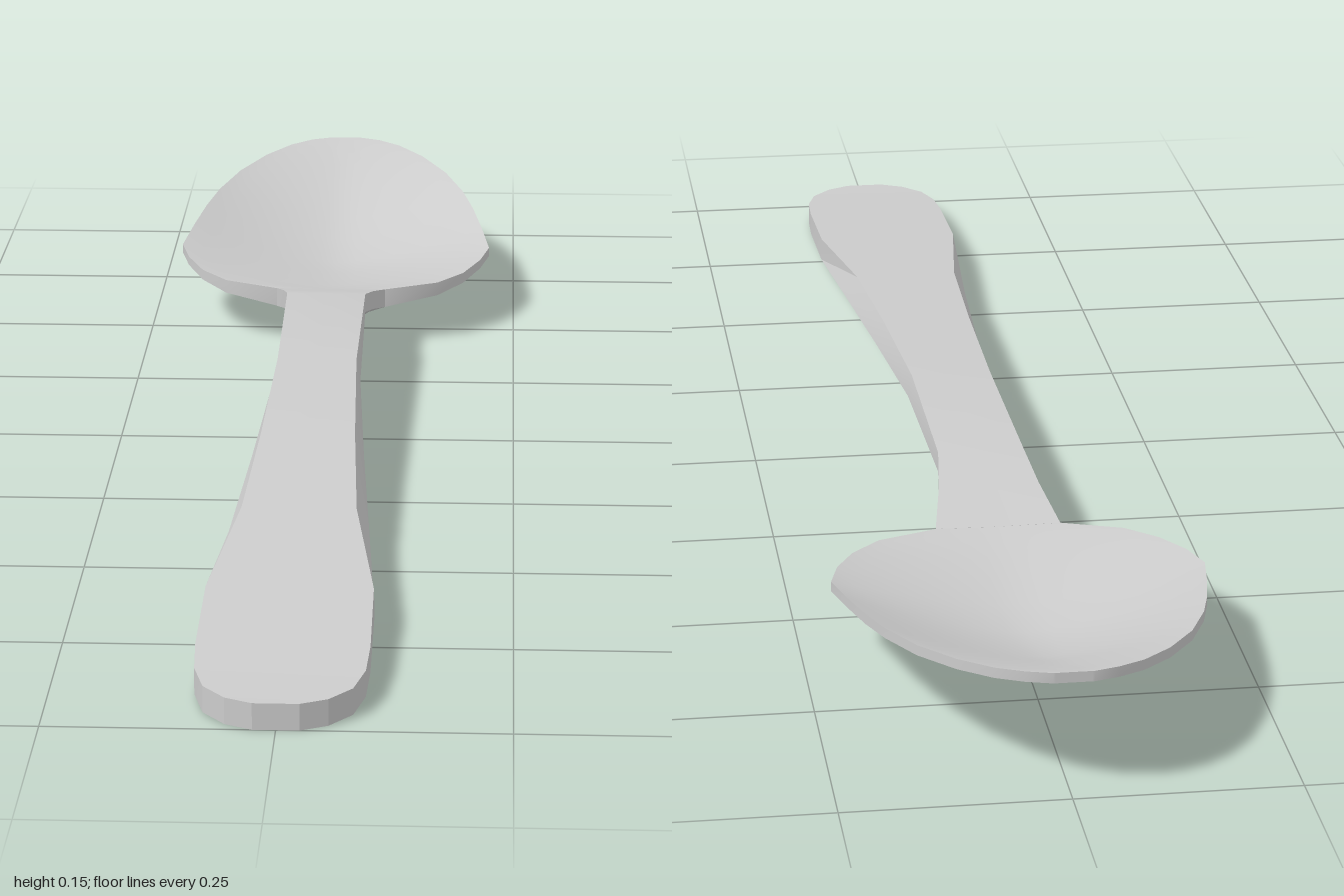
import * as THREE from 'three';
import { toCreasedNormals } from 'three/addons/utils/BufferGeometryUtils.js';

// Skin a row of cross-sections that run from +z to -z.
// Section: [z, top half width, bottom half width, rim y, rim thickness, centre top y, centre bottom y]
function loft(sections, columns, power, crease) {
  const positions = [], indices = [], ring = columns * 2;
  for (const [z, topWidth, bottomWidth, rim, thickness, topY, bottomY] of sections) {
    for (let k = 0; k < ring; k++) {
      const isTop = k < columns;
      const j = isTop ? k : ring - 1 - k;
      const t = -1 + (2 * j) / (columns - 1);
      const rise = Math.pow(Math.abs(t), power);
      const centre = isTop ? topY : bottomY;
      const edge = isTop ? rim : rim - thickness;
      positions.push(t * (isTop ? topWidth : bottomWidth), centre + (edge - centre) * rise, z);
    }
  }
  for (let i = 0; i < sections.length - 1; i++) {
    for (let k = 0; k < ring; k++) {
      const a = i * ring + k, b = i * ring + (k + 1) % ring;
      indices.push(a, b, a + ring, b, b + ring, a + ring);
    }
  }
  // End caps
  const last = (sections.length - 1) * ring;
  for (let j = 0; j < columns - 1; j++) {
    const tl = j, tr = j + 1, br = ring - 2 - j, bl = ring - 1 - j;
    indices.push(bl, br, tr, bl, tr, tl);
    indices.push(last + tl, last + tr, last + br, last + tl, last + br, last + bl);
  }
  const geometry = new THREE.BufferGeometry();
  geometry.setAttribute('position', new THREE.Float32BufferAttribute(positions, 3));
  geometry.setIndex(indices);
  return toCreasedNormals(geometry, crease);
}

export function createModel() {
  const spoon = new THREE.Group();
  spoon.name = 'spoon';
  const material = new THREE.MeshStandardMaterial({ color: 0xcccccc });

  // Handle: flat top, thin side walls, keeled underside
  const handleSections = [
    [1.0, 0.025, 0.025, 0.03, 0.03, 0.03, 0],
    [0.985, 0.055, 0.055, 0.03, 0.03, 0.03, 0],
    [0.955, 0.08, 0.08, 0.031, 0.03, 0.031, 0.001],
    [0.91, 0.092, 0.092, 0.034, 0.03, 0.034, 0.004],
    [0.85, 0.095, 0.095, 0.039, 0.03, 0.039, 0.009],
    [0.7, 0.094, 0.095, 0.051, 0.03, 0.051, 0.021],
    [0.48, 0.067, 0.082, 0.07, 0.03, 0.07, 0.033],
    [0.25, 0.057, 0.068, 0.088, 0.03, 0.088, 0.038],
    [0, 0.05, 0.055, 0.106, 0.028, 0.106, 0.042],
    [-0.28, 0.052, 0.052, 0.112, 0.025, 0.112, 0.047],
    [-0.35, 0.06, 0.06, 0.096, 0.025, 0.096, 0.049],
    [-0.43, 0.074, 0.074, 0.076, 0.025, 0.075, 0.05],
  ];
  const handle = new THREE.Mesh(loft(handleSections, 3, 1, 0.35), material);
  handle.name = 'handle';
  spoon.add(handle);

  // Bowl: dished on top, rounded underneath
  const bowlSections = [
    [-0.43, 0.074, 0.074, 0.076, 0.025, 0.075, 0.05],
    [-0.46, 0.145, 0.145, 0.078, 0.018, 0.068, 0.047],
    [-0.5, 0.18, 0.18, 0.081, 0.014, 0.061, 0.043],
    [-0.55, 0.203, 0.203, 0.086, 0.012, 0.055, 0.039],
    [-0.6, 0.215, 0.215, 0.09, 0.012, 0.05, 0.035],
    [-0.67, 0.204, 0.204, 0.1, 0.012, 0.046, 0.031],
    [-0.74, 0.191, 0.191, 0.11, 0.012, 0.06, 0.045],
    [-0.8, 0.176, 0.176, 0.119, 0.012, 0.075, 0.06],
    [-0.87, 0.15, 0.15, 0.129, 0.012, 0.102, 0.088],
    [-0.93, 0.115, 0.115, 0.138, 0.012, 0.124, 0.112],
    [-0.97, 0.08, 0.08, 0.144, 0.012, 0.138, 0.126],
    [-0.99, 0.05, 0.05, 0.147, 0.012, 0.145, 0.133],
    [-1.0, 0.022, 0.022, 0.148, 0.012, 0.148, 0.136],
  ];
  const bowl = new THREE.Mesh(loft(bowlSections, 17, 1.5, 0.7), material);
  bowl.name = 'bowl';
  spoon.add(bowl);

  return spoon;
}
